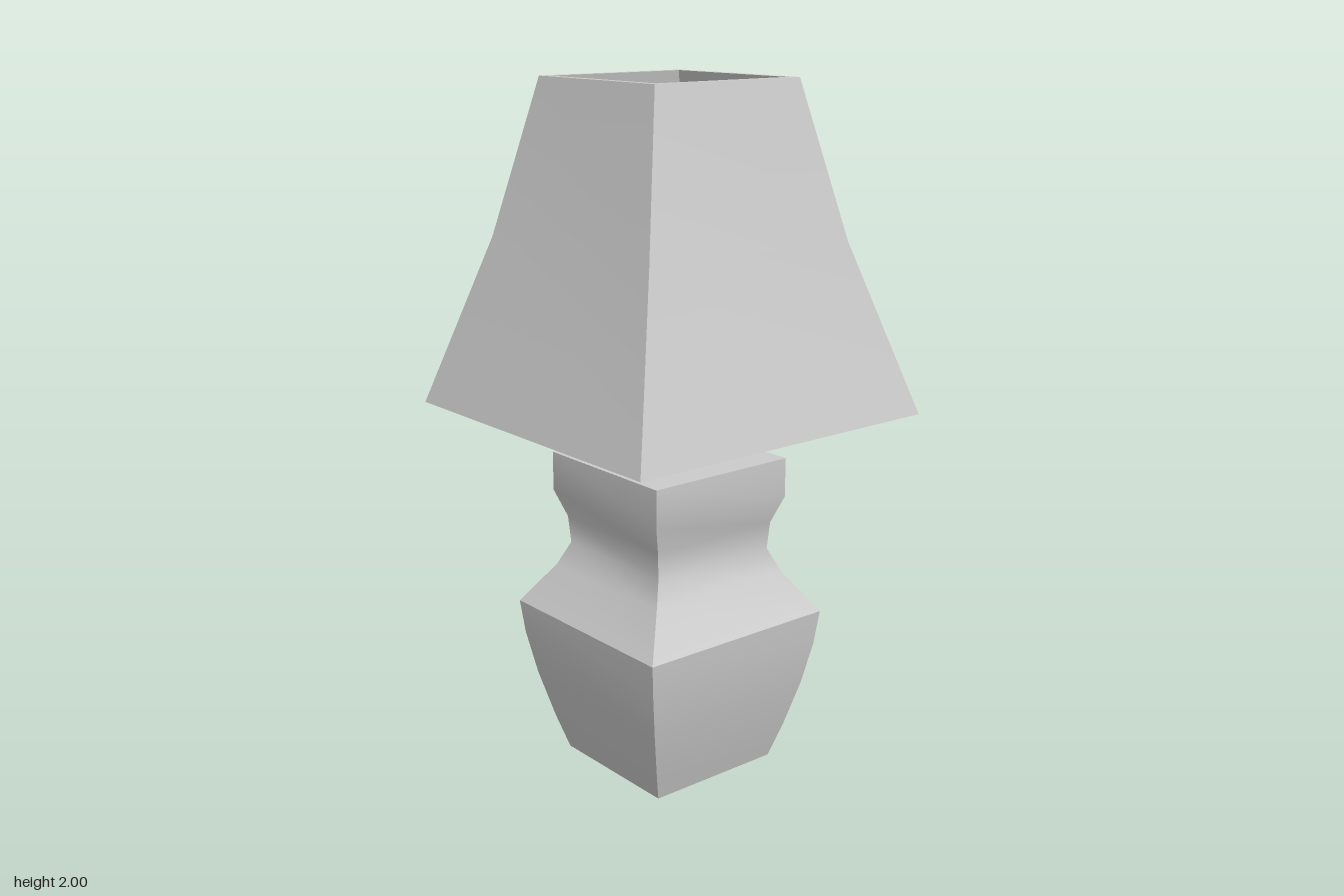
import * as THREE from 'three';
import { toCreasedNormals } from 'three/addons/utils/BufferGeometryUtils.js';

const material = new THREE.MeshStandardMaterial({ color: 0xcccccc });

function part(name, geometry) {
  const mesh = new THREE.Mesh(geometry, material);
  mesh.name = name;
  return mesh;
}

// Square turning: profile pairs are [half width, height], outward when rising
function squareTurning(profile) {
  const points = profile.map(([half, y]) => new THREE.Vector2(half * Math.SQRT2, y));
  const geometry = new THREE.LatheGeometry(points, 4, Math.PI / 4);
  return toCreasedNormals(geometry, THREE.MathUtils.degToRad(35));
}

export function createModel() {
  const lamp = new THREE.Group();
  lamp.name = 'tableLamp';

  // Solid vase-like base with a pinched neck
  lamp.add(part('base', squareTurning([
    [0, 0], [0.213, 0], [0.243, 0.1], [0.279, 0.24], [0.304, 0.37], [0.315, 0.47],
    [0.234, 0.59], [0.203, 0.66], [0.209, 0.74], [0.238, 0.82], [0.238, 0.935], [0, 0.935],
  ])));

  // Hexagonal pole
  const pole = part('pole', new THREE.CylinderGeometry(0.065, 0.065, 1.02, 6));
  pole.rotation.y = Math.PI / 2;
  pole.position.y = 1.44;
  lamp.add(pole);

  // Crossed bars holding the shade
  for (const [name, angle] of [['shadeBarX', 0], ['shadeBarZ', Math.PI / 2]]) {
    const bar = part(name, new THREE.BoxGeometry(0.71, 0.035, 0.035));
    bar.rotation.y = angle;
    bar.position.y = 1.47;
    lamp.add(bar);
  }

  // Hollow flared shade: outside up, over the rim and back down inside
  lamp.add(part('shade', squareTurning([
    [0.5, 1.075], [0.35, 1.56], [0.25, 2],
    [0.225, 2], [0.325, 1.56], [0.475, 1.075], [0.5, 1.075],
  ])));

  return lamp;
}
